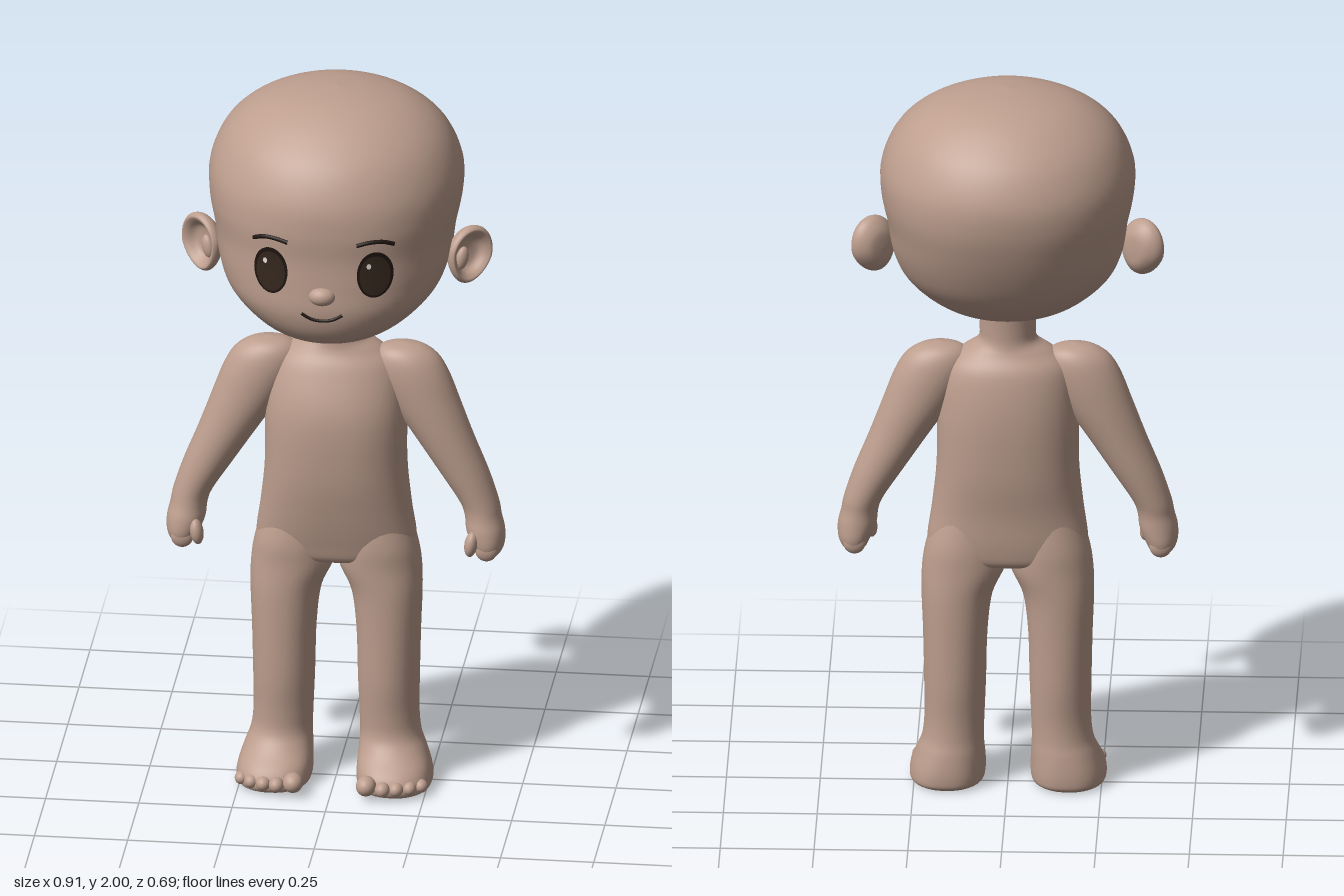
import * as THREE from 'three';

const mat = (name, color, side = THREE.FrontSide) => {
  const m = new THREE.MeshStandardMaterial({ color, side });
  m.name = name;
  return m;
};

// Rows are [y, xMin, xMax, zBack, zFront, roundness], listed from top to bottom.
// Fill in between rows with a smooth curve.
function smoothRows(rows, steps) {
  const out = [];
  const at = (i) => rows[Math.max(0, Math.min(rows.length - 1, i))];
  for (let i = 0; i < rows.length - 1; i++) {
    for (let s = 0; s < steps; s++) {
      const t = s / steps;
      out.push(rows[i].map((p1, k) => {
        const p0 = at(i - 1)[k], p2 = at(i + 1)[k], p3 = at(i + 2)[k];
        return 0.5 * (2 * p1 + (p2 - p0) * t + (2 * p0 - 5 * p1 + 4 * p2 - p3) * t * t
          + (3 * p1 - p0 - 3 * p2 + p3) * t * t * t);
      }));
    }
  }
  out.push(rows[rows.length - 1]);
  return out;
}

// Closed smooth body made of stacked horizontal superellipse rings.
function stack(rows, side = 1, seg = 48, steps = 5) {
  const rings = smoothRows(rows, steps);
  const pos = [], idx = [];
  for (const [y, x0, x1, z0, z1, n] of rings) {
    for (let j = 0; j < seg; j++) {
      const a = (j / seg) * Math.PI * 2, c = Math.cos(a), s = Math.sin(a);
      const px = Math.sign(c) * Math.abs(c) ** (2 / n), pz = Math.sign(s) * Math.abs(s) ** (2 / n);
      pos.push(side * (x0 + x1) / 2 + px * (x1 - x0) / 2, y, (z0 + z1) / 2 + pz * (z1 - z0) / 2);
    }
  }
  const last = (rings.length - 1) * seg, top = rings.length * seg;
  for (const r of [rings[0], rings[rings.length - 1]]) pos.push(side * (r[1] + r[2]) / 2, r[0], (r[3] + r[4]) / 2);
  for (let j = 0; j < seg; j++) {
    const k = (j + 1) % seg;
    for (let i = 0; i < last; i += seg) idx.push(i + j, i + k, i + seg + j, i + k, i + seg + k, i + seg + j);
    idx.push(top, k, j, top + 1, last + j, last + k);
  }
  const g = new THREE.BufferGeometry();
  g.setAttribute('position', new THREE.Float32BufferAttribute(pos, 3));
  g.setIndex(idx);
  g.computeVertexNormals();
  return g;
}

const sym = (y, x, z0, z1, n) => [y, -x, x, z0, z1, n];

const HEAD = [
  sym(2.0, 0.003, -0.013, -0.007, 2), sym(1.99, 0.1, -0.115, 0.085, 2), sym(1.965, 0.19, -0.19, 0.155, 2),
  sym(1.92, 0.262, -0.255, 0.225, 2), sym(1.86, 0.31, -0.31, 0.285, 2), sym(1.78, 0.338, -0.342, 0.322, 2.05),
  sym(1.7, 0.336, -0.34, 0.33, 2.15), sym(1.62, 0.32, -0.318, 0.325, 2.2), sym(1.54, 0.308, -0.285, 0.327, 2.2),
  sym(1.47, 0.28, -0.245, 0.327, 2.2), sym(1.41, 0.225, -0.19, 0.308, 2.15), sym(1.37, 0.165, -0.12, 0.27, 2.1),
  sym(1.342, 0.09, -0.02, 0.195, 2), sym(1.33, 0.005, 0.09, 0.1, 2),
];
const TORSO = [
  sym(1.38, 0.075, -0.085, 0.06, 2), sym(1.32, 0.075, -0.08, 0.065, 2), sym(1.28, 0.08, -0.08, 0.065, 2),
  sym(1.25, 0.125, -0.09, 0.072, 2), sym(1.2, 0.17, -0.118, 0.1, 2.1), sym(1.08, 0.188, -0.135, 0.138, 2.2),
  sym(0.92, 0.19, -0.13, 0.136, 2.3), sym(0.8, 0.202, -0.114, 0.117, 2.3), sym(0.7, 0.214, -0.105, 0.093, 2.3),
  sym(0.65, 0.19, -0.09, 0.075, 2.2), sym(0.635, 0.1, -0.04, 0.03, 2),
];
const LEG = [
  [0.8, 0.02, 0.185, -0.09, 0.08, 2], [0.7, 0.008, 0.216, -0.103, 0.092, 2.1], [0.63, 0.006, 0.228, -0.104, 0.09, 2.1],
  [0.55, 0.04, 0.23, -0.103, 0.09, 2.1], [0.44, 0.054, 0.226, -0.1, 0.088, 2.1], [0.3, 0.058, 0.223, -0.095, 0.084, 2],
  [0.2, 0.062, 0.222, -0.086, 0.074, 2], [0.14, 0.064, 0.228, -0.086, 0.075, 2], [0.1, 0.062, 0.242, -0.092, 0.1, 2.1],
  [0.06, 0.06, 0.256, -0.096, 0.143, 2.3], [0.03, 0.06, 0.262, -0.096, 0.158, 2.4], [0.01, 0.064, 0.26, -0.092, 0.155, 2.4],
  [0, 0.08, 0.245, -0.078, 0.14, 2.4],
];
const ARM = [
  [1.266, 0.175, 0.185, -0.01, 0, 2], [1.257, 0.125, 0.232, -0.044, 0.034, 2], [1.23, 0.1, 0.273, -0.065, 0.056, 2],
  [1.18, 0.105, 0.303, -0.075, 0.067, 2], [1.1, 0.145, 0.333, -0.077, 0.07, 2], [1.0, 0.212, 0.37, -0.072, 0.068, 2],
  [0.9, 0.278, 0.41, -0.066, 0.063, 2], [0.82, 0.33, 0.436, -0.058, 0.058, 2], [0.78, 0.345, 0.444, -0.053, 0.06, 2],
  [0.74, 0.35, 0.453, -0.054, 0.068, 2.1], [0.7, 0.365, 0.452, -0.053, 0.068, 2.1], [0.672, 0.38, 0.438, -0.04, 0.052, 2.1],
  [0.66, 0.402, 0.415, -0.005, 0.012, 2],
];

// Depth of the face surface at a given x and y.
const headRings = smoothRows(HEAD, 8);
function faceZ(x, y) {
  const i = headRings.findIndex((r) => r[0] <= y), a = headRings[i - 1], b = headRings[i];
  const t = (a[0] - y) / (a[0] - b[0]);
  const [, , w, z0, z1, n] = a.map((v, k) => v + (b[k] - v) * t);
  return (z0 + z1) / 2 + ((z1 - z0) / 2) * (1 - Math.abs(x / w) ** n) ** (1 / n);
}

// Thin oval lying on the face.
function facePatch(cx, cy, rx, ry, lift) {
  const g = new THREE.RingGeometry(0.001, 1, 40, 6), p = g.attributes.position;
  for (let i = 0; i < p.count; i++) {
    const x = cx + p.getX(i) * rx, y = cy + p.getY(i) * ry;
    p.setXYZ(i, x, y, faceZ(x, y) + lift);
  }
  g.computeVertexNormals();
  return g;
}

// Thin line following the face.
function faceLine(points, radius) {
  const curve = new THREE.CatmullRomCurve3(points.map(([x, y]) => new THREE.Vector3(x, y, faceZ(x, y) + 0.001)));
  return new THREE.TubeGeometry(curve, 24, radius, 8);
}

export function createModel() {
  const skin = mat('skin', 0xbd9e8e);
  const iris = mat('eye brown', 0x35271e, THREE.DoubleSide);
  const dark = mat('dark line', 0x1f1511, THREE.DoubleSide);
  const glint = mat('eye glint', 0xe8e0da, THREE.DoubleSide);
  const model = new THREE.Group();
  const add = (name, geometry, material = skin, parent = model) => {
    const m = new THREE.Mesh(geometry, material);
    m.name = name;
    parent.add(m);
    return m;
  };
  const ball = (name, x, y, z, rx, ry, rz, parent) => {
    const m = add(name, new THREE.SphereGeometry(1, 24, 16), skin, parent);
    m.position.set(x, y, z);
    m.scale.set(rx, ry, rz);
    return m;
  };

  add('head', stack(HEAD, 1, 64, 6));
  add('torso', stack(TORSO));
  ball('nose', 0, 1.528, 0.322, 0.036, 0.026, 0.028);
  add('mouth', faceLine([[-0.055, 1.477], [-0.03, 1.463], [0, 1.458], [0.03, 1.463], [0.055, 1.477]], 0.0045), dark);

  // Ear: a cupped dish with a rounded rim
  const earProfile = new THREE.SplineCurve([[0, -0.04], [0.04, -0.036], [0.066, -0.018], [0.075, 0.003],
    [0.067, 0.017], [0.054, 0.01], [0.035, -0.009], [0, -0.014]].map(([r, h]) => new THREE.Vector2(r, h)));
  const earPoints = earProfile.getPoints(40).map((p) => new THREE.Vector2(Math.max(0, p.x), p.y));

  for (const s of [1, -1]) {
    const side = s > 0 ? 'left' : 'right';

    // Eye and brow
    add(side + 'EyeRim', facePatch(s * 0.14, 1.59, 0.047, 0.066, 0.003), dark);
    add(side + 'Eye', facePatch(s * 0.14, 1.588, 0.04, 0.057, 0.006), iris);
    add(side + 'EyeGlint', facePatch(s * 0.14 - 0.015, 1.617, 0.006, 0.008, 0.009), glint);
    add(side + 'Brow', faceLine([[0.092, 1.678], [0.125, 1.685], [0.16, 1.684], [0.188, 1.673]].map(([x, y]) => [s * x, y]), 0.006), dark);

    // Ear
    const ear = new THREE.Group();
    ear.name = side + 'Ear';
    ear.position.set(s * 0.358, 1.537, 0.012);
    ear.rotation.set(0, s * 0.72, -s * 0.25);
    model.add(ear);
    const dish = new THREE.LatheGeometry(earPoints, 40).rotateX(Math.PI / 2);
    const p = dish.attributes.position;
    for (let i = 0; i < p.count; i++) {
      const y = p.getY(i);
      p.setXY(i, p.getX(i) * (0.92 + 2.2 * Math.min(0, y)), y * 1.08);
    }
    dish.computeVertexNormals();
    add('earDish', dish, skin, ear);
    ball('earFold', -s * 0.022, -0.012, 0.002, 0.018, 0.032, 0.014, ear);

    // Arm with mitten hand
    add(side + 'Arm', stack(ARM, s, 40));
    for (let i = 0; i < 4; i++) ball(side + 'Finger', s * 0.408, 0.688 + 0.004 * Math.abs(i - 1.5), -0.034 + i * 0.028, 0.03, 0.031, 0.017);
    const thumb = ball(side + 'Thumb', s * 0.368, 0.712, 0.055, 0.018, 0.036, 0.024);
    thumb.rotation.z = -s * 0.15;

    // Leg with foot and toes
    add(side + 'Leg', stack(LEG, s, 44));
    for (let i = 0; i < 5; i++) {
      const r = i === 0 ? 0.027 : 0.021 - i * 0.0008;
      ball(side + 'Toe', s * [0.098, 0.142, 0.178, 0.212, 0.241][i], r + 0.012, [0.155, 0.16, 0.152, 0.138, 0.115][i], r, r, r * 1.15);
    }
  }
  return model;
}
